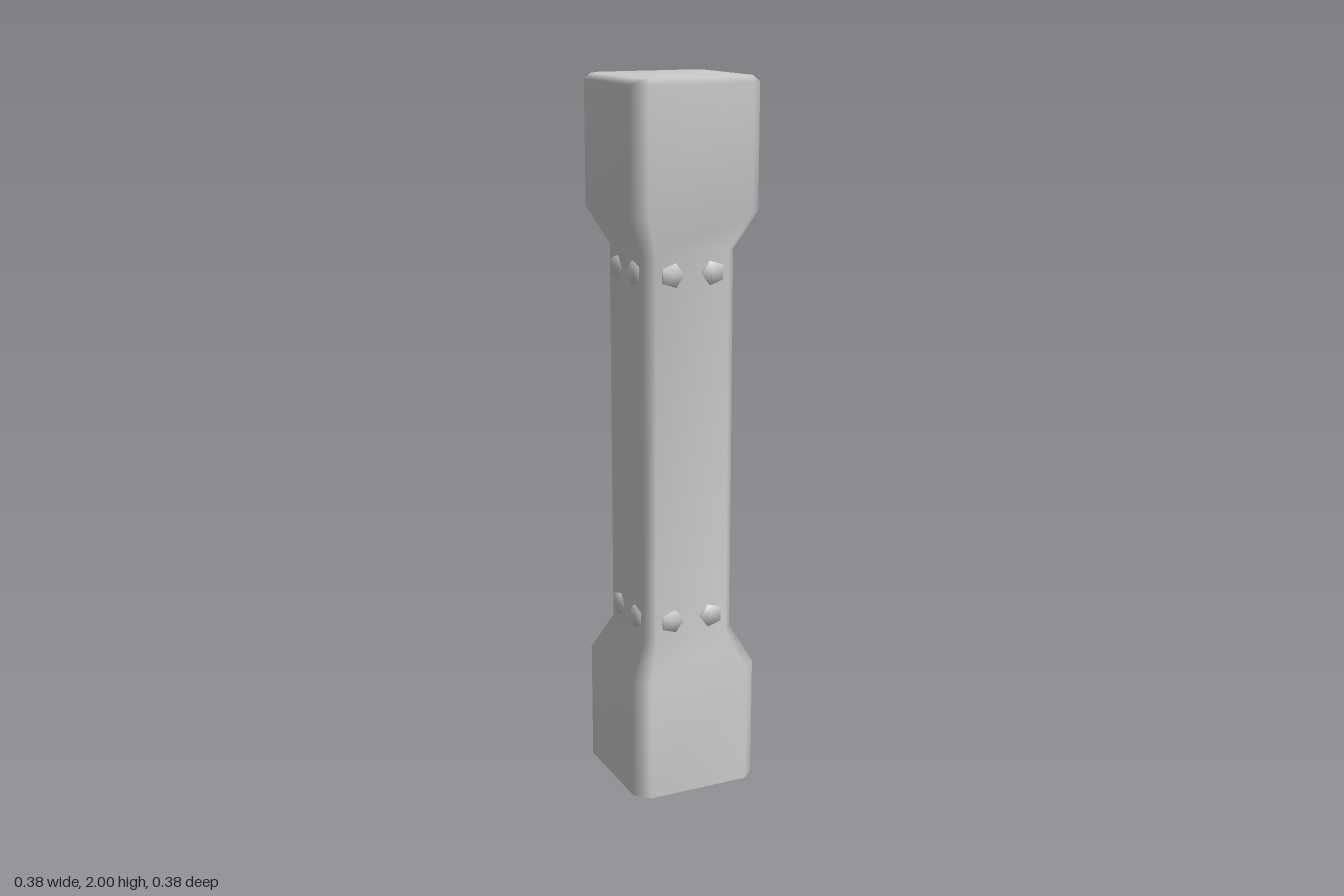
import * as THREE from 'three';
import { mergeVertices } from 'three/addons/utils/BufferGeometryUtils.js';

// Corners of a chamfered square, in order around the y axis
function ring(half, cut, y) {
  const inner = half - cut, points = [];
  for (let i = 0; i < 4; i++) {
    const c = Math.round(Math.cos(i * Math.PI / 2)), s = Math.round(Math.sin(i * Math.PI / 2));
    for (const z of [-inner, inner]) points.push([c * half - s * z, y, s * half + c * z]);
  }
  return points;
}

// Column skin lofted through the sections, closed at the top
function loft(sections) {
  const positions = [], index = [], n = 8;
  sections.forEach(s => positions.push(...ring(...s).flat()));
  for (let r = 0; r < sections.length - 1; r++) {
    for (let i = 0; i < n; i++) {
      const a = r * n + i, b = r * n + (i + 1) % n;
      index.push(a, a + n, b, b, a + n, b + n);
    }
  }
  const last = (sections.length - 1) * n, centre = sections.length * n;
  positions.push(0, sections[sections.length - 1][2], 0);
  for (let i = 0; i < n; i++) index.push(centre, last + (i + 1) % n, last + i);
  const geometry = new THREE.BufferGeometry();
  geometry.setAttribute('position', new THREE.Float32BufferAttribute(positions, 3));
  geometry.setIndex(index);
  geometry.computeVertexNormals();
  return geometry;
}

export function createModel() {
  const model = new THREE.Group();
  model.name = 'pillar';
  const material = new THREE.MeshStandardMaterial({ color: 0xcccccc });

  // Wide base, narrow shaft and wide head: half width, corner chamfer, height
  const column = new THREE.Mesh(loft([
    [0.188, 0.038, 0], [0.188, 0.038, 0.345],
    [0.135, 0.027, 0.45], [0.135, 0.027, 1.54],
    [0.188, 0.038, 1.645], [0.188, 0.038, 1.984],
    [0.172, 0.034, 2],
  ]), material);
  column.name = 'column';
  model.add(column);

  // Flat underside
  const outline = new THREE.Shape(ring(0.188, 0.038, 0).map(p => new THREE.Vector2(p[0], p[2])));
  const underside = new THREE.Mesh(new THREE.ShapeGeometry(outline).rotateX(Math.PI / 2), material);
  underside.name = 'underside';
  model.add(underside);

  // Five-sided studs, two per face near both ends of the shaft
  let stud = new THREE.CylinderGeometry(0.034, 0.035, 0.02, 5);
  stud.rotateX(Math.PI / 2).rotateZ(Math.PI / 2);
  stud.deleteAttribute('normal');
  stud.deleteAttribute('uv');
  stud = mergeVertices(stud);
  stud.computeVertexNormals();
  for (let face = 0; face < 4; face++) {
    const studs = new THREE.Group();
    studs.name = 'studs' + (face + 1);
    studs.rotation.y = face * Math.PI / 2;
    for (const y of [0.505, 1.485]) {
      for (const side of [-1, 1]) {
        const mesh = new THREE.Mesh(stud, material);
        mesh.name = 'stud';
        mesh.position.set(side * 0.061, y, 0.132);
        mesh.rotation.z = side > 0 ? Math.PI : 0;
        studs.add(mesh);
      }
    }
    model.add(studs);
  }
  return model;
}
